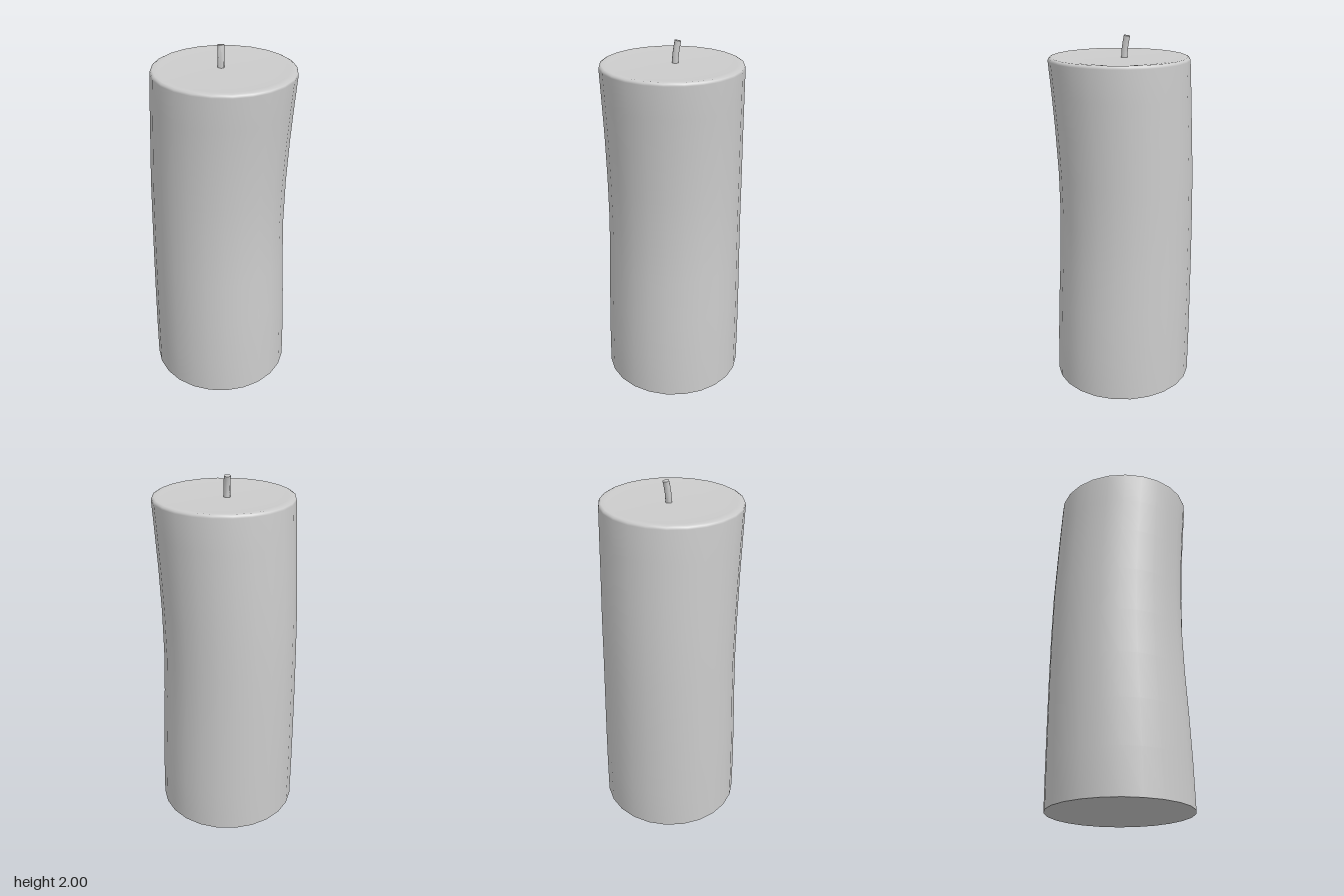
import * as THREE from 'three';
import { mergeVertices, toCreasedNormals } from 'three/addons/utils/BufferGeometryUtils.js';

const SIDES = 24;

export function createModel() {
  const group = new THREE.Group();
  group.name = 'candle';
  const material = new THREE.MeshStandardMaterial({ color: 0xcccccc });
  const add = (name, geometry) => {
    const mesh = new THREE.Mesh(geometry, material);
    mesh.name = name;
    group.add(mesh);
    return mesh;
  };

  // Sections of the leaning wax: height, radius, sideways shift (same in x and z)
  const sections = [
    [0, 0.398, 0], [0.25, 0.396, -0.003], [0.5, 0.391, -0.007], [0.75, 0.384, -0.012],
    [1, 0.379, -0.014], [1.25, 0.378, -0.011], [1.5, 0.378, -0.002], [1.7, 0.38, 0.007],
    [1.873, 0.382, 0.016],
    // rounded rim and shallow top
    [1.884, 0.379, 0.016], [1.89, 0.368, 0.016], [1.889, 0.34, 0.016],
    [1.885, 0.29, 0.015], [1.884, 0.15, 0.01], [1.884, 0, 0.006],
  ];
  let wax = new THREE.LatheGeometry(sections.map(([y, r]) => new THREE.Vector2(r, y)), SIDES);
  const pos = wax.attributes.position;
  for (let i = 0; i < pos.count; i++) {
    const shift = sections[i % sections.length][2];
    pos.setX(i, pos.getX(i) + shift);
    pos.setZ(i, pos.getZ(i) + shift);
  }
  // Weld the seam so the shading runs round smoothly
  wax.deleteAttribute('normal');
  wax.deleteAttribute('uv');
  wax = mergeVertices(wax, 1e-4);
  wax.computeVertexNormals();
  add('waxBody', wax);

  // Flat underside
  add('base', new THREE.CircleGeometry(0.398, SIDES).rotateX(Math.PI / 2));

  // Wick, bending toward the back
  const wick = new THREE.CylinderGeometry(0.018, 0.018, 0.125, 8, 4).translate(0.003, 1.9355, 0);
  const w = wick.attributes.position;
  for (let i = 0; i < w.count; i++) {
    const t = (w.getY(i) - 1.873) / 0.125;
    const z = w.getZ(i);
    w.setZ(i, z - 0.008 - 0.016 * t * t);
    w.setY(i, w.getY(i) + z * 0.15 * t); // tilts the tip with the bend
  }
  add('wick', toCreasedNormals(wick, 0.9));

  return group;
}
